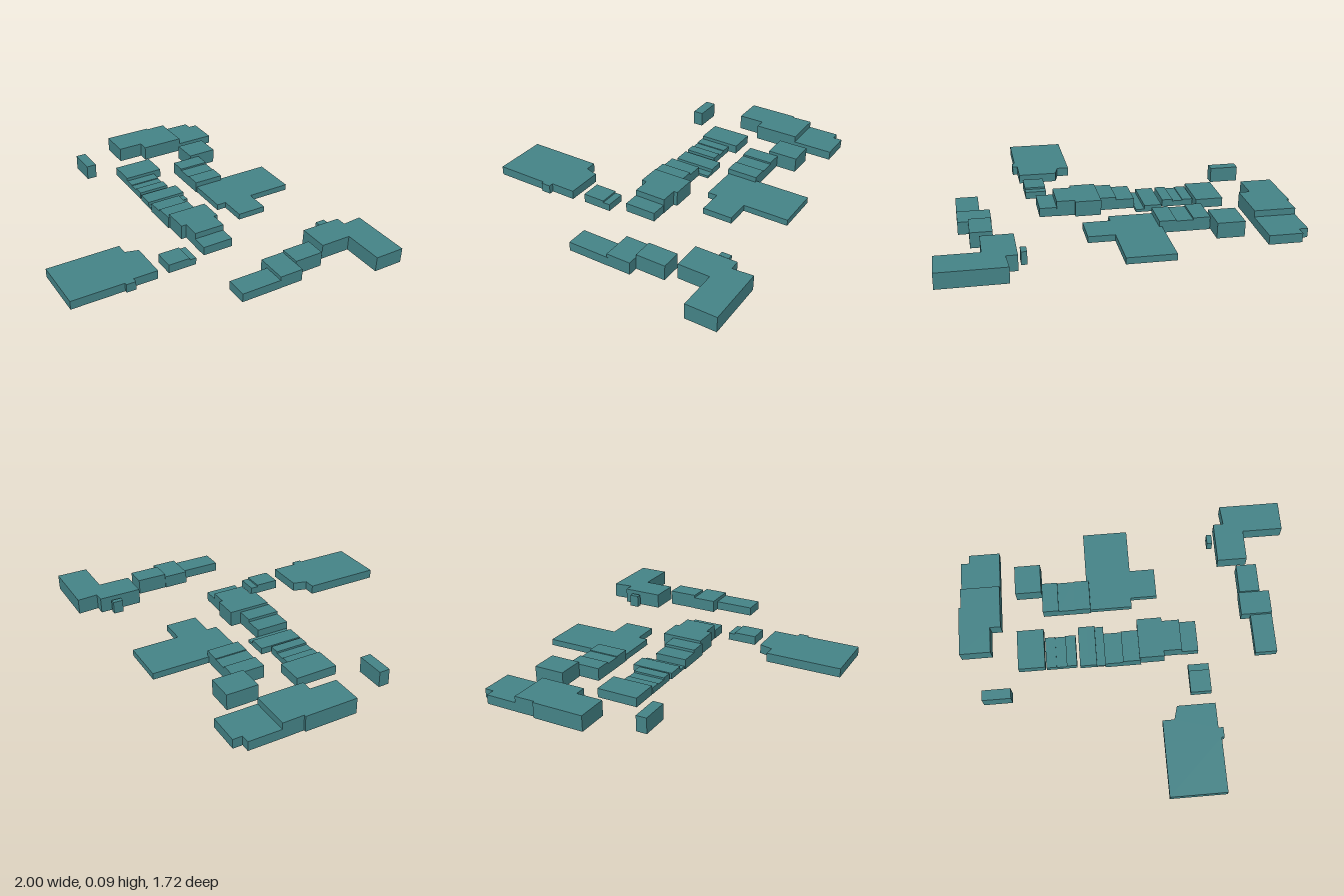
import * as THREE from 'three';

// The whole block plan is turned by ten degrees
const TURN = THREE.MathUtils.degToRad(10);
const C = Math.cos(TURN), S = Math.sin(TURN);

export function createModel() {
  const model = new THREE.Group();
  model.name = 'buildingBlocks';
  const material = new THREE.MeshStandardMaterial({ color: 0x458488, flatShading: true });

  // Building: start corner (x, z), then steps alternately across and forward
  function building(name, height, x, z, steps) {
    const points = [new THREE.Vector2(x, -z)];
    steps.forEach((d, i) => {
      if (i % 2 === 0) { x += d * C; z += d * S; }
      else { x -= d * S; z += d * C; }
      points.push(new THREE.Vector2(x, -z));
    });
    const geometry = new THREE.ExtrudeGeometry(new THREE.Shape(points), { depth: height, bevelEnabled: false });
    geometry.rotateX(-Math.PI / 2);
    const mesh = new THREE.Mesh(geometry, material);
    mesh.name = name;
    model.add(mesh);
  }
  const box = (name, height, x, z, w, d) => building(name, height, x, z, [w, d, -w]);

  // Row of equal boxes side by side
  function terrace(name, heights, x, z, w, d) {
    heights.forEach((h, i) => box(name + (i + 1), h, x + i * w * C, z + i * w * S, w, d));
  }

  // Western buildings
  building('westRearBuilding', 0.05, -0.837, -0.864, [0.176, 0.23, -0.223, -0.18, 0.047]);
  building('westFrontBuilding', 0.085, -0.923, -0.65, [0.223, 0.25, -0.06, 0.147, -0.173, -0.282, 0.012]);
  box('westShed', 0.085, -0.922, -0.024, 0.158, 0.058);

  // Rear row
  box('rearCornerHouse', 0.085, -0.596, -0.708, 0.147, 0.17);
  terrace('rearTerrace', [0.07, 0.06, 0.065], -0.468, -0.57, 0.09, 0.175);
  building('rearHall', 0.035, -0.163, -0.83, [0.255, 0.255, 0.141, 0.17, -0.147, 0.054, -0.249]);

  // Middle row
  box('middleEndHouse', 0.05, -0.666, -0.33, 0.15, 0.228);
  terrace('middleTerraceLeft', [0.035, 0.03, 0.04], -0.521, -0.255, 0.057, 0.18);
  terrace('middleTerraceRaised', [0.035, 0.035, 0.015], -0.328, -0.27, 0.047, 0.233);
  terrace('middleTerraceRight', [0.055, 0.07], -0.2, -0.187, 0.1, 0.18);
  building('middleHall', 0.085, 0, -0.212, [0.14, 0.022, 0.098, 0.178, -0.1, 0.03, -0.138]);
  box('middleSideHouse', 0.05, 0.23, -0.147, 0.093, 0.178);

  // Front buildings
  box('frontPorch', 0.04, 0.212, 0.108, 0.115, 0.04);
  box('frontAnnex', 0.05, 0.205, 0.147, 0.115, 0.125);
  building('frontHall', 0.05, 0.088, 0.325, [0.212, 0.14, 0.027, 0.055, -0.015, 0.3, -0.31, -0.42, 0.065]);

  // Eastern buildings, stepping down to the front
  building('eastCornerBuilding', 0.085, 0.656, -0.778, [0.347, 0.17, -0.228, 0.175, -0.168, -0.232, 0.058]);
  box('eastShed', 0.07, 0.531, -0.628, 0.03, 0.055);
  box('eastRearWing', 0.085, 0.639, -0.388, 0.115, 0.165);
  box('eastMiddleWing', 0.07, 0.607, -0.227, 0.174, 0.135);
  box('eastFrontWing', 0.05, 0.637, -0.092, 0.122, 0.235);

  return model;
}
